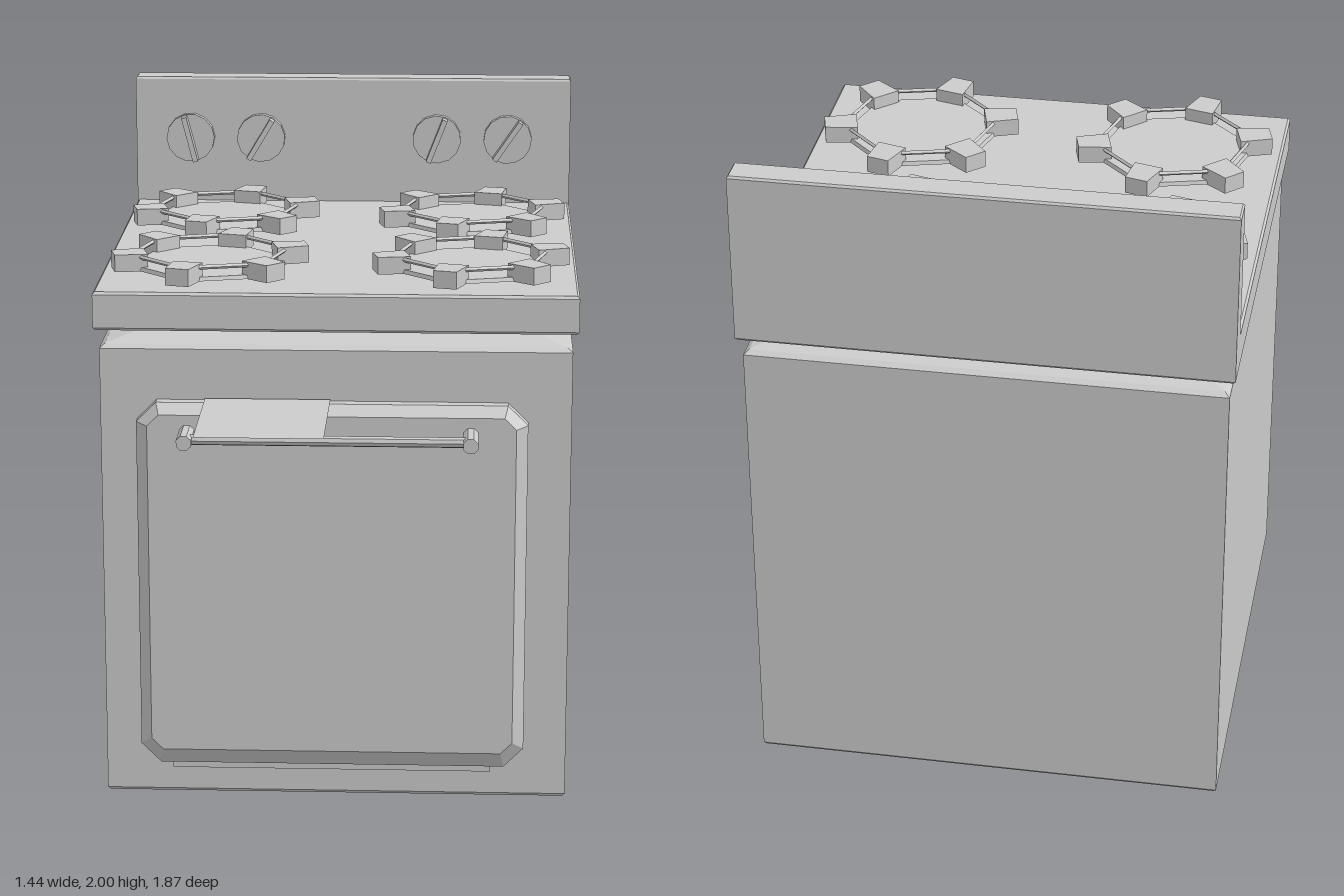
import * as THREE from 'three';

const grey = new THREE.MeshStandardMaterial({ color: 0xcccccc, flatShading: true });
const sheetMaterial = new THREE.MeshStandardMaterial({ color: 0xcccccc, side: THREE.DoubleSide });

function part(parent, name, geometry, x = 0, y = 0, z = 0) {
  const mesh = new THREE.Mesh(geometry, grey);
  mesh.name = name;
  mesh.position.set(x, y, z);
  parent.add(mesh);
  return mesh;
}

// Closed solid from convex sections, each counter-clockwise seen from the last one
function loft(sections) {
  const n = sections[0].length;
  const index = [];
  for (let s = 0; s < sections.length - 1; s++) {
    for (let i = 0; i < n; i++) {
      const a = s * n + i, b = s * n + (i + 1) % n;
      index.push(a, b, b + n, a, b + n, a + n);
    }
  }
  const top = (sections.length - 1) * n;
  for (let i = 1; i < n - 1; i++) {
    index.push(0, i + 1, i, top, top + i, top + i + 1);
  }
  const geometry = new THREE.BufferGeometry();
  geometry.setAttribute('position', new THREE.Float32BufferAttribute(sections.flat(2), 3));
  geometry.setIndex(index);
  const flat = geometry.toNonIndexed();
  flat.computeVertexNormals();
  return flat;
}

// Horizontal rectangle at height y
const rect = (y, x, back, front) => [[x, y, front], [x, y, back], [-x, y, back], [-x, y, front]];

// Upright rectangle with cut corners at depth z
function cutRect(z, x0, x1, y0, y1, c) {
  return [
    [x0 + c, y0, z], [x1 - c, y0, z], [x1, y0 + c, z], [x1, y1 - c, z],
    [x1 - c, y1, z], [x0 + c, y1, z], [x0, y1 - c, z], [x0, y0 + c, z],
  ];
}

// Hexagonal burner with six tapered grips around its rim
function burner(x, z) {
  const group = new THREE.Group();
  group.name = 'burner';
  group.position.set(x, 1.585, z);
  group.rotation.y = -Math.PI / 4;

  const rod = new THREE.TorusGeometry(0.245, 0.007, 4, 6).rotateX(Math.PI / 2);
  part(group, 'burnerRing', rod, 0, 0.055, 0);
  const plate = new THREE.CylinderGeometry(0.245, 0.25, 0.012, 6).rotateY(Math.PI / 6 * 3);
  part(group, 'burnerPlate', plate, 0, 0.019, 0);

  const outline = (y) => [[0.3, y, 0.036], [0.3, y, -0.036], [0.2, y, -0.046], [0.2, y, 0.046]];
  const gripGeometry = loft([outline(0.012), outline(0.065)]);
  for (let i = 0; i < 6; i++) {
    part(group, 'burnerGrip', gripGeometry).rotation.y = i * Math.PI / 3;
  }
  return group;
}

// Round control knob with a turned grip bar
function knob(x, tilt) {
  const group = new THREE.Group();
  group.name = 'knob';
  group.position.set(x, 1.8, -0.845);
  group.rotation.z = tilt;
  part(group, 'knobDisc', new THREE.CylinderGeometry(0.08, 0.08, 0.025, 14).rotateX(Math.PI / 2), 0, 0, 0.0125);
  part(group, 'knobBar', new THREE.BoxGeometry(0.017, 0.152, 0.045), 0, 0, 0.043);
  return group;
}

export function createModel() {
  const stove = new THREE.Group();
  stove.name = 'stove';

  // Cabinet with a recessed neck below the cooktop
  part(stove, 'body', loft([
    rect(0, 0.697, -0.907, 0.487),
    rect(0.01, 0.705, -0.915, 0.495),
    rect(1.41, 0.705, -0.915, 0.495),
    rect(1.422, 0.69, -0.9, 0.48),
    rect(1.443, 0.605, -0.82, 0.4),
    rect(1.455, 0.605, -0.82, 0.4),
    rect(1.475, 0.7, -0.915, 0.49),
  ]));

  // Cooktop and upright back panel
  part(stove, 'cooktop', loft([
    rect(1.468, 0.715, -0.928, 0.503),
    rect(1.476, 0.722, -0.935, 0.51),
    rect(1.577, 0.722, -0.935, 0.51),
    rect(1.585, 0.715, -0.928, 0.503),
  ]));
  part(stove, 'backPanel', loft([
    rect(1.476, 0.722, -0.935, -0.845),
    rect(1.993, 0.722, -0.935, -0.845),
    rect(2, 0.717, -0.93, -0.85),
  ]));

  for (const x of [-0.395, 0.4]) {
    for (const z of [-0.485, 0.185]) stove.add(burner(x, z));
  }
  const knobs = [[-0.54, 0.25], [-0.305, -0.54], [0.28, -0.37], [0.515, -0.6]];
  for (const [x, tilt] of knobs) stove.add(knob(x, tilt));

  // Oven door with bevelled edges and a thin sill under it
  part(stove, 'ovenDoor', loft([
    cutRect(0.485, -0.595, 0.575, 0.11, 1.255, 0.06),
    cutRect(0.53, -0.595, 0.575, 0.11, 1.255, 0.06),
    cutRect(0.565, -0.56, 0.54, 0.165, 1.225, 0.035),
  ]));
  part(stove, 'doorSill', new THREE.BoxGeometry(0.975, 0.05, 0.025), -0.0125, 0.11, 0.4975);

  // Door handle
  const post = new THREE.CylinderGeometry(0.024, 0.024, 0.125, 8).rotateY(Math.PI / 8).rotateX(Math.PI / 2);
  for (const x of [-0.44, 0.405]) part(stove, 'handlePost', post, x, 1.172, 0.6225);
  const bar = new THREE.CylinderGeometry(0.016, 0.016, 0.845, 8).rotateZ(Math.PI / 2);
  part(stove, 'handleBar', bar, -0.0175, 1.172, 0.642);

  // Flat sheet over the handle
  const sheet = new THREE.PlaneGeometry(0.375, 0.43).rotateX(-Math.PI / 2);
  part(stove, 'sheet', sheet, -0.2025, 1.262, 0.72).material = sheetMaterial;

  return stove;
}
